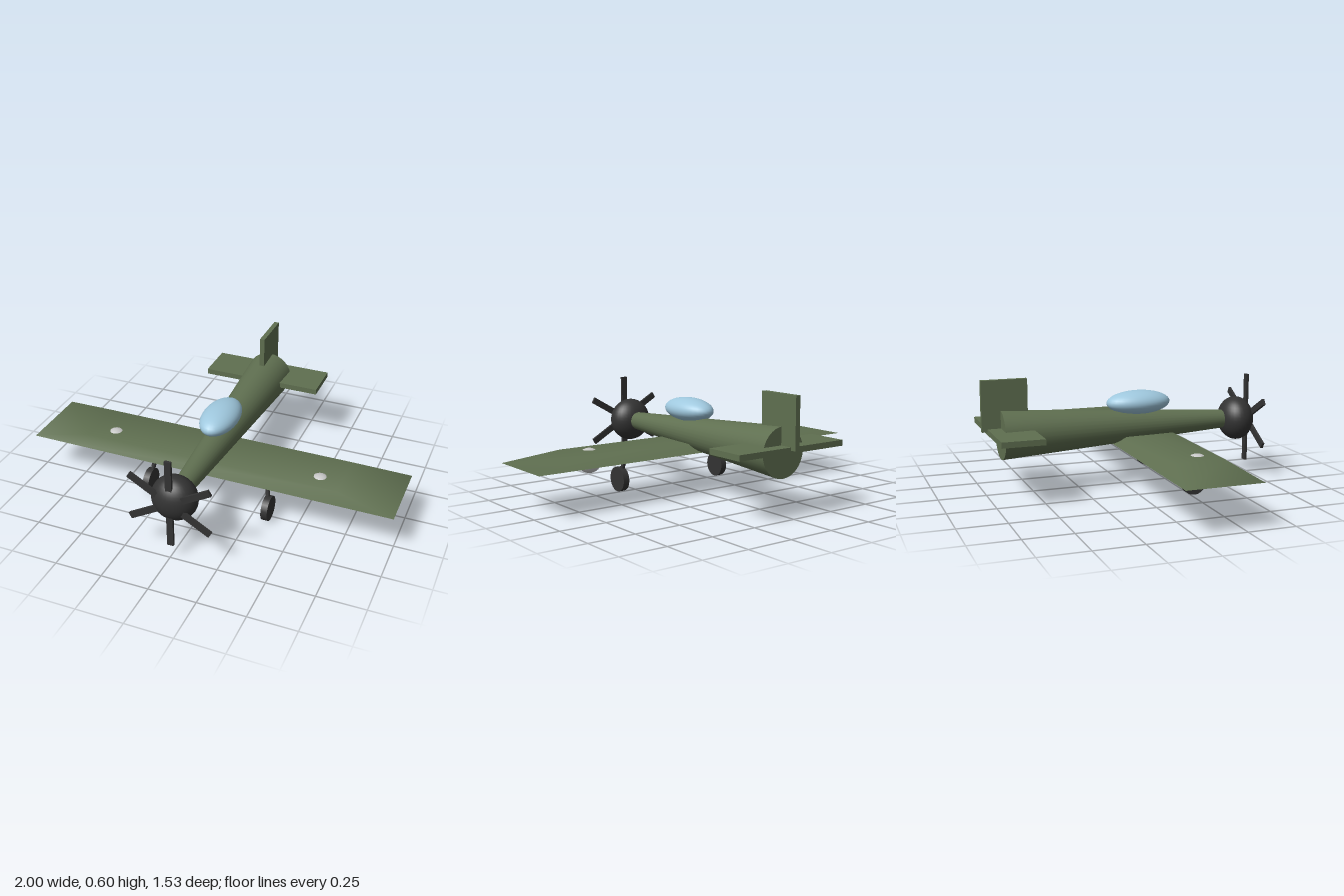
import * as THREE from 'three';
import { toCreasedNormals } from 'three/addons/utils/BufferGeometryUtils.js';

const paint = (name, color) => {
  const m = new THREE.MeshStandardMaterial({ color });
  m.name = name;
  return m;
};

export function createModel() {
  const green = paint('olive green', 0x5f6f50);
  const dark = paint('dark grey', 0x333333);
  const blue = paint('canopy blue', 0x9fc8de);
  const silver = paint('pale grey', 0xc8c8c8);

  const plane = new THREE.Group();
  plane.name = 'aeroplane';
  const add = (name, geometry, material, x, y, z, parent = plane) => {
    const mesh = new THREE.Mesh(geometry, material);
    mesh.name = name;
    mesh.position.set(x, y, z);
    parent.add(mesh);
    return mesh;
  };
  const ellipsoid = (rx, ry, rz) => new THREE.SphereGeometry(1, 32, 20).scale(rx, ry, rz);
  const axisY = 0.315;

  // Fuselage widening towards the tail
  add('fuselage', new THREE.CylinderGeometry(0.045, 0.13, 1.334, 32).rotateX(Math.PI / 2), green, 0, axisY, 0);
  add('nose', ellipsoid(0.12, 0.12, 0.095), dark, 0, axisY, 0.672);
  add('canopy', ellipsoid(0.097, 0.064, 0.178), blue, 0, 0.441, 0.09);

  // Six propeller blades
  const propeller = new THREE.Group();
  propeller.name = 'propeller';
  propeller.position.set(0, axisY, 0.736);
  plane.add(propeller);
  for (let i = 0; i < 6; i++) {
    const blade = add('blade', new THREE.BoxGeometry(0.034, 0.225, 0.014).translate(0, 0.132, 0), dark, 0, 0, 0, propeller);
    blade.rotation.z = i * Math.PI / 3;
  }

  // Wing: a slab whose top face shrinks to 70 percent, with a softened upper edge
  const slab = new THREE.BoxGeometry(2, 0.044, 0.396);
  const p = slab.attributes.position;
  for (let i = 0; i < p.count; i++) {
    if (p.getY(i) > 0) p.setXYZ(i, p.getX(i) * 0.7, p.getY(i), p.getZ(i) * 0.7);
  }
  add('wing', toCreasedNormals(slab, 0.8), green, 0, 0.248, 0.134);

  // Tail surfaces
  add('tailplane', new THREE.BoxGeometry(0.667, 0.03, 0.222), green, 0, 0.337, -0.626);
  add('fin', new THREE.BoxGeometry(0.027, 0.267, 0.242), green, 0, 0.47, -0.645);

  // Wing pods and landing gear, mirrored
  for (const side of [1, -1]) {
    add('wingPod', new THREE.SphereGeometry(0.066, 16, 12), silver, side * 0.58, 0.213, 0.18);
    add('wheel', new THREE.CylinderGeometry(0.067, 0.067, 0.035, 24).rotateZ(Math.PI / 2), dark, side * 0.336, 0.067, 0.27);
    const foot = new THREE.Vector3(side * 0.335, 0.09, 0.265);
    const top = new THREE.Vector3(side * 0.311, 0.24, 0.222);
    const along = top.clone().sub(foot);
    const mid = foot.clone().add(top).multiplyScalar(0.5);
    const strut = add('strut', new THREE.CylinderGeometry(0.012, 0.012, along.length(), 12), dark, mid.x, mid.y, mid.z);
    strut.quaternion.setFromUnitVectors(new THREE.Vector3(0, 1, 0), along.normalize());
  }
  return plane;
}
